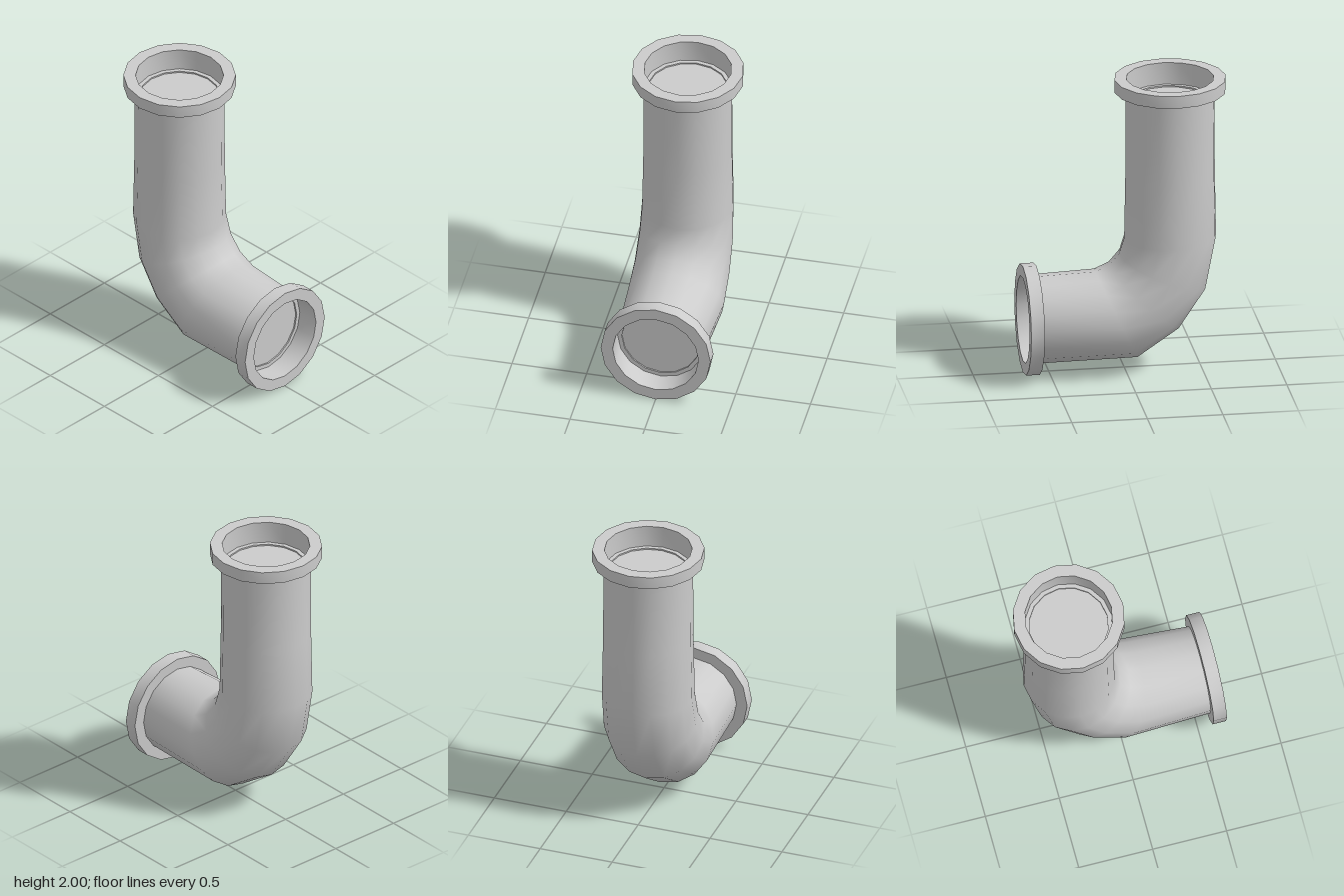
import * as THREE from 'three';
import { toCreasedNormals } from 'three/addons/utils/BufferGeometryUtils.js';

const SIDES = 16;

// Skin circular rings, each given by its outer-bend and inner-bend points in the xy plane.
function bentPipe(rings) {
  const positions = [], index = [];
  rings.forEach(([ox, oy, ix, iy], i) => {
    const cx = (ox + ix) / 2, cy = (oy + iy) / 2;
    const ux = (ix - ox) / 2, uy = (iy - oy) / 2;
    const r = Math.hypot(ux, uy);
    for (let j = 0; j < SIDES; j++) {
      const a = (j / SIDES) * Math.PI * 2;
      positions.push(cx + ux * Math.cos(a), cy + uy * Math.cos(a), r * Math.sin(a));
      if (i === rings.length - 1) continue;
      const p = i * SIDES + j, q = i * SIDES + ((j + 1) % SIDES);
      index.push(p, q, q + SIDES, p, q + SIDES, p + SIDES);
    }
  });
  const g = new THREE.BufferGeometry();
  g.setAttribute('position', new THREE.Float32BufferAttribute(positions, 3));
  g.setIndex(index);
  g.computeVertexNormals();
  return g;
}

// Flange with its stepped, closed socket; the mouth lies at local y = 0 and faces +y.
function flangeGeometry(thickness) {
  const profile = [
    [0.288, -thickness], [0.368, -thickness], [0.368, 0], [0.288, 0],
    [0.288, -0.15], [0.26, -0.15], [0.26, -0.16], [0, -0.16],
  ].map(([x, y]) => new THREE.Vector2(x, y));
  return toCreasedNormals(new THREE.LatheGeometry(profile, SIDES), 0.7);
}

export function createModel() {
  const group = new THREE.Group();
  const material = new THREE.MeshStandardMaterial({ color: 0xcccccc });
  const add = (name, geometry) => {
    const mesh = new THREE.Mesh(geometry, material);
    mesh.name = name;
    group.add(mesh);
    return mesh;
  };

  // Elbow, swelling slightly through the bend
  add('elbowPipe', bentPipe([
    [-0.597, 1.915, -0.011, 1.915],
    [-0.6, 1.35, -0.008, 1.35],
    [-0.608, 0.9, 0, 0.9],
    [-0.54, 0.55, 0.035, 0.79],
    [-0.36, 0.28, 0.1, 0.715],
    [-0.08, 0.09, 0.19, 0.675],
    [0.58, 0.077, 0.58, 0.663],
  ]));

  // Flanges at both ends
  add('topFlange', flangeGeometry(0.085)).position.set(-0.304, 2, 0);
  const side = add('sideFlange', flangeGeometry(0.09));
  side.position.set(0.67, 0.37, 0);
  side.rotation.z = -Math.PI / 2;

  return group;
}
